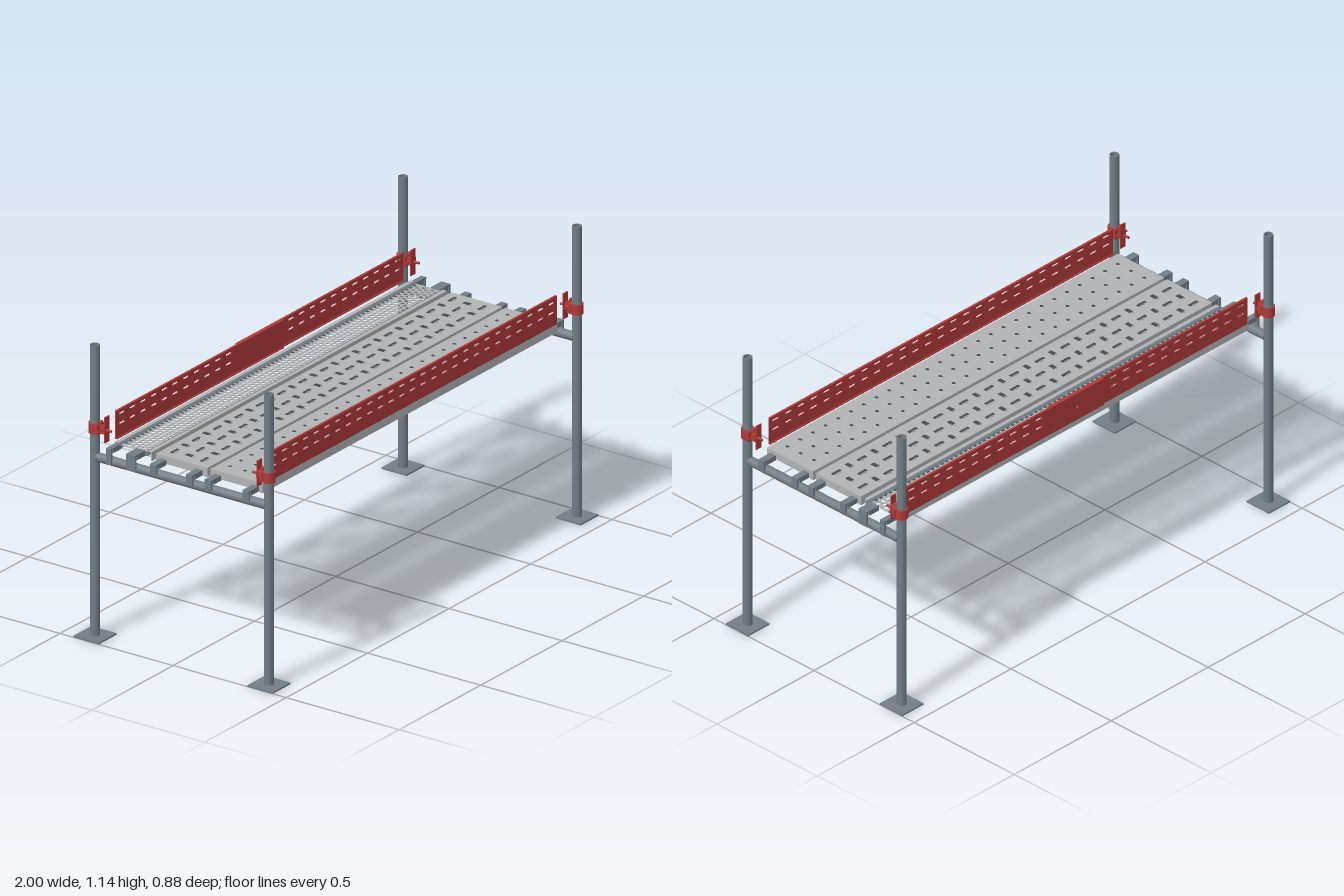
import * as THREE from 'three';

const material = (name, color, side = THREE.FrontSide) => {
  const m = new THREE.MeshStandardMaterial({ color, side });
  m.name = name;
  return m;
};

export function createModel() {
  const model = new THREE.Group();
  model.name = 'scaffoldBay';
  const steel = material('slateSteel', 0x727d86, THREE.DoubleSide);
  const grey = material('lightGrey', 0xb0b2b4);
  const dark = material('darkHole', 0x4a4d50);
  const red = material('red', 0xb03a3a);

  const add = (name, geo, mat, x = 0, y = 0, z = 0, parent = model) => {
    const mesh = new THREE.Mesh(geo, mat);
    mesh.name = name;
    mesh.position.set(x, y, z);
    parent.add(mesh);
    return mesh;
  };
  const box = (name, mat, w, h, d, x, y, z, parent) =>
    add(name, new THREE.BoxGeometry(w, h, d), mat, x, y, z, parent);
  const rod = (name, mat, axis, r, len, x, y, z, parent, sides = 16) => {
    const g = new THREE.CylinderGeometry(r, r, len, sides);
    if (axis === 'x') g.rotateZ(Math.PI / 2);
    if (axis === 'z') g.rotateX(Math.PI / 2);
    return add(name, g, mat, x, y, z, parent);
  };
  const group = (name) => {
    const g = new THREE.Group();
    g.name = name;
    model.add(g);
    return g;
  };
  const rectShape = (x0, x1, y0, y1) => new THREE.Shape([
    new THREE.Vector2(x0, y0), new THREE.Vector2(x1, y0),
    new THREE.Vector2(x1, y1), new THREE.Vector2(x0, y1)]);
  // Polygon hole; stretch moves the two halves apart to make a slot
  const hole = (cx, cy, rx, ry, sides, stretch = 0) => {
    const pts = [];
    for (let i = 0; i < sides; i++) {
      const a = -((i + 0.5) / sides) * Math.PI * 2;
      const c = Math.cos(a);
      pts.push(new THREE.Vector2(cx + c * rx + Math.sign(c) * stretch, cy + Math.sin(a) * ry));
    }
    return new THREE.Path(pts);
  };

  const PX = 0.945, PZ = 0.385, PITCH = 0.0655;
  const columns = Array.from({ length: 27 }, (_, i) => (i - 13) * PITCH);

  // Hollow posts, base plates and toe board clamps
  const postProfile = [[0.014, 1.138], [0.014, 0.006], [0.018, 0.006], [0.018, 1.138], [0.014, 1.138]]
    .map(([r, y]) => new THREE.Vector2(r, y));
  for (const sx of [-1, 1]) {
    for (const sz of [-1, 1]) {
      const x = sx * PX, z = sz * PZ;
      const flat = new THREE.LatheGeometry(postProfile, 24).toNonIndexed();
      flat.computeVertexNormals();
      add('post', flat, steel, x, 0, z);
      box('basePlate', steel, 0.11, 0.006, 0.112, x, 0.003, z);

      const clamp = group('clamp');
      const inner = (d) => z - sz * d;
      rod('clampSleeve', red, 'y', 0.024, 0.04, x, 0.816, z, clamp);
      box('clampJaw', red, 0.046, 0.038, 0.014, x, 0.816, inner(0.02), clamp);
      box('clampBlock', red, 0.022, 0.03, 0.026, x, 0.816, inner(0.036), clamp);
      rod('clampBolt', red, 'z', 0.005, 0.05, x, 0.816, inner(0.048), clamp, 8);
      rod('clampPin', red, 'y', 0.006, 0.045, x, 0.822, inner(0.027), clamp, 8);
      add('pinHead', new THREE.SphereGeometry(0.008, 8, 6), red, x, 0.842, inner(0.027), clamp);
      rod('crossPin', red, 'x', 0.004, 0.058, x, 0.816, inner(0.034), clamp, 8);
      box('boardHolder', red, 0.026, 0.1, 0.004, x - sx * 0.006, 0.817, inner(0.048), clamp);
    }
    rod('crossTube', steel, 'z', 0.0175, 0.75, sx * PX, 0.702, 0, undefined, 24);
  }

  // Solid decks with folded lower lips
  const deckBody = (name, z0, z1) => {
    const g = group(name), w = z1 - z0, zc = (z0 + z1) / 2;
    box('deckPanel', grey, 1.81, 0.03, w, 0, 0.744, zc, g);
    for (const z of [z0 + 0.008, z1 - 0.008])
      box('deckLip', grey, 1.81, 0.007, 0.016, 0, 0.7255, z, g);
    return g;
  };
  const frontDeck = deckBody('frontDeck', 0.097, 0.328);
  const middleDeck = deckBody('middleDeck', -0.143, 0.083);

  // Raised perforations on the front deck
  for (const z of [0.145, 0.211, 0.277]) {
    for (const x of columns) {
      add('gripDimple', new THREE.CylinderGeometry(0.007, 0.011, 0.003, 8), grey, x, 0.7605, z, frontDeck);
      add('gripHole', new THREE.CylinderGeometry(0.007, 0.007, 0.001, 8), dark, x, 0.7623, z, frontDeck);
    }
  }
  // Alternating long and crosswise slots on the middle deck
  [-0.1, -0.034, 0.032].forEach((z, row) => columns.forEach((x, col) => {
    const along = (row + col) % 2 === 0;
    const w = along ? 0.042 : 0.016, d = along ? 0.014 : 0.034;
    box('gripRim', grey, w * 0.6, 0.003, d + 0.004, x, 0.7605, z, middleDeck);
    box('gripSlot', dark, w, 0.002, d * 0.8, x, 0.7613, z, middleDeck);
  }));

  // Open mesh deck on two long rails
  const meshDeck = group('meshDeck');
  const meshShape = rectShape(-0.905, 0.905, -0.06, 0.06);
  for (let r = 0; r < 6; r++) {
    for (let i = 0; i < 74; i++) {
      const x = (i - 36.75 + (r % 2) * 0.5) * 0.0242;
      meshShape.holes.push(hole(x, (r - 2.5) * 0.0196, 0.0102, 0.0086, 6));
    }
  }
  const meshGeo = new THREE.ExtrudeGeometry(meshShape, { depth: 0.003, bevelEnabled: false });
  meshGeo.rotateX(-Math.PI / 2);
  add('meshPanel', meshGeo, grey, 0, 0.751, -0.243, meshDeck);
  for (const [z, s] of [[-0.312, -1], [-0.175, 1]]) {
    box('meshSide', grey, 1.81, 0.036, 0.005, 0, 0.742, z + s * 0.0105, meshDeck);
    box('meshEdge', grey, 1.81, 0.004, 0.016, 0, 0.758, z + s * 0.005, meshDeck);
    rod('meshRail', steel, 'x', 0.009, 1.82, 0, 0.75, z - s * 0.007, meshDeck, 10);
  }

  // Hooks that hang the decks on the cross tubes
  const hook = (sx, z, w, y0, y1) => {
    const g = group('deckHook');
    box('hookArm', steel, 0.05, 0.02, w, sx * 0.928, y1 - 0.01, z, g);
    box('hookNose', steel, 0.008, y1 - y0, w, sx * 0.963, (y0 + y1) / 2, z, g);
    box('hookTop', steel, 0.03, 0.006, w, sx * 0.953, y1 - 0.003, z, g);
  };
  for (const sx of [-1, 1]) {
    for (const z of [0.297, 0.13, 0.048, -0.112]) hook(sx, z, 0.028, 0.705, 0.745);
    hook(sx, -0.211, 0.04, 0.695, 0.758);
    hook(sx, -0.309, 0.022, 0.695, 0.758);
  }

  // Slotted toe boards; slots are left out between skip[0] and skip[1]
  const toeBoard = (name, x0, x1, z, lip, skip) => {
    const g = group(name);
    const shape = rectShape(x0, x1, 0.762, 0.873);
    for (const y of [0.815, 0.853])
      for (const x of columns)
        if (x > x0 + 0.025 && x < x1 - 0.025 && !(x > skip[0] && x < skip[1]))
          shape.holes.push(hole(x, y, 0.006, 0.0045, 8, 0.011));
    const geo = new THREE.ExtrudeGeometry(shape, { depth: 0.004, bevelEnabled: false });
    add('boardPanel', geo, red, 0, 0, z - 0.002, g);
    for (const y of [0.764, 0.871])
      box('boardLip', red, x1 - x0, 0.004, 0.007, (x0 + x1) / 2, y, z + lip * 0.0035, g);
  };
  toeBoard('frontToeBoard', -0.888, 0.886, 0.337, -1, [9, 9]);
  toeBoard('backToeBoardRight', -0.888, 0.137, -0.335, 1, [-0.15, 0.15]);
  toeBoard('backToeBoardLeft', -0.14, 0.886, -0.342, 1, [-0.15, 0.15]);
  rod('boardBolt', red, 'z', 0.005, 0.02, 0, 0.817, -0.345, undefined, 8);

  return model;
}
